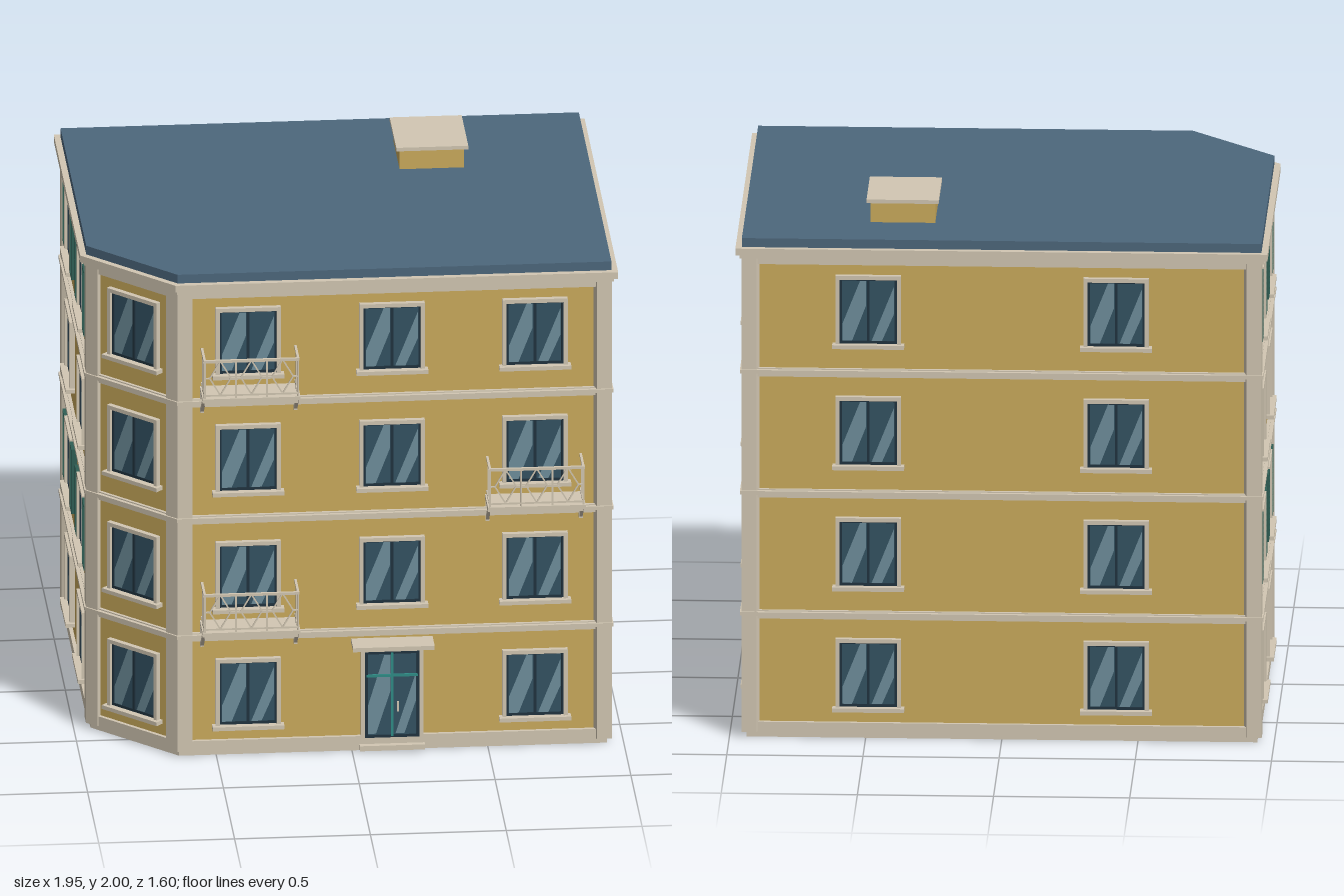
import * as THREE from 'three';

const mat = (color) => new THREE.MeshStandardMaterial({ color, flatShading: true });
const M = {
  wall: mat(0xcbab5c), trim: mat(0xd2c7b3), roof: mat(0x4d677c), glass: mat(0x345363),
  shine: mat(0x6f8f9c), sash: mat(0x20333f), teal: mat(0x2f8c86), shutter: mat(0x2f5f55),
};
const FLOOR = 0.463;

function add(parent, name, geometry, material, x = 0, y = 0, z = 0) {
  const mesh = new THREE.Mesh(geometry, material);
  mesh.name = name;
  mesh.position.set(x, y, z);
  parent.add(mesh);
  return mesh;
}

// Box given by its limits on each axis
function box(parent, name, material, x0, x1, y0, y1, z0, z1) {
  return add(parent, name, new THREE.BoxGeometry(x1 - x0, y1 - y0, z1 - z0), material,
    (x0 + x1) / 2, (y0 + y1) / 2, (z0 + z1) / 2);
}

// Square bar between two points
function bar(parent, name, material, a, b, t = 0.007) {
  const p = new THREE.Vector3(...a), q = new THREE.Vector3(...b);
  const mesh = add(parent, name, new THREE.BoxGeometry(t, t, p.distanceTo(q)), material);
  mesh.position.copy(p).add(q).multiplyScalar(0.5);
  mesh.lookAt(q);
  return mesh;
}

// Floor plan with one cut corner, grown outward by d; points are (x, z)
function plan(d) {
  const l = -0.935 - d, r = 0.935 + d, f = 0.67 + d, b = -0.755 - d, cut = 1.305 + d * Math.SQRT2;
  return [[l, b], [l, cut + l], [f - cut, f], [r, f], [r, b]].map((p) => new THREE.Vector2(...p));
}

// Upright prism over a plan
function prism(parent, name, material, points, y0, y1) {
  const shape = new THREE.Shape(points.map((p) => new THREE.Vector2(p.x, -p.y)));
  const geo = new THREE.ExtrudeGeometry(shape, { depth: y1 - y0, bevelEnabled: false });
  geo.rotateX(-Math.PI / 2);
  return add(parent, name, geo, material, 0, y0, 0);
}

// Flat polygon facing local +z
function flat(parent, name, material, pts, z) {
  const shape = new THREE.Shape(pts.map((p) => new THREE.Vector2(...p)));
  return add(parent, name, new THREE.ShapeGeometry(shape), material, 0, 0, z);
}

// Open frame: left, right and top bars, with an optional bottom bar
function frame(parent, name, material, w, y0, y1, t, z0, z1, bottom = true) {
  for (const s of [-1, 1]) {
    const a = s * w, b = s * (w - t);
    box(parent, name, material, Math.min(a, b), Math.max(a, b), y0, y1, z0, z1);
  }
  box(parent, name, material, t - w, w - t, y1 - t, y1, z0, z1);
  if (bottom) box(parent, name, material, t - w, w - t, y0, y0 + t, z0, z1);
}

// Window: local origin on the wall, at the underside of the sill
function makeWindow(shutters) {
  const g = new THREE.Group();
  g.name = 'window';
  box(g, 'windowGlass', M.glass, -0.105, 0.105, 0.015, 0.265, -0.01, 0.004);
  flat(g, 'glassReflection', M.shine,
    [[-0.095, 0.025], [-0.06, 0.025], [-0.008, 0.16], [-0.008, 0.255], [-0.03, 0.255], [-0.095, 0.09]], 0.006);
  flat(g, 'glassReflection', M.shine,
    [[0.012, 0.025], [0.05, 0.025], [0.095, 0.13], [0.095, 0.235]], 0.006);
  frame(g, 'windowSash', M.sash, 0.107, 0.015, 0.265, 0.01, 0, 0.009);
  box(g, 'windowMullion', M.sash, -0.005, 0.005, 0.02, 0.26, 0, 0.01);
  frame(g, 'windowSurround', M.trim, 0.12, 0.012, 0.276, 0.015, -0.01, 0.02, false);
  box(g, 'windowSill', M.trim, -0.132, 0.132, 0, 0.015, -0.01, 0.035);
  if (shutters) for (const s of [-1, 1]) {
    const sh = new THREE.Group();
    sh.name = 'shutter';
    sh.position.x = s * 0.163;
    box(sh, 'shutterPanel', M.shutter, -0.036, 0.036, 0.02, 0.265, 0, 0.01);
    frame(sh, 'shutterFrame', M.shutter, 0.04, 0.015, 0.27, 0.01, 0, 0.02);
    for (let i = 0; i < 11; i++) {
      const slat = box(sh, 'shutterSlat', M.shutter, -0.03, 0.03, 0.034 + i * 0.021, 0.038 + i * 0.021, 0.006, 0.02);
      slat.rotation.x = 0.5;
    }
    g.add(sh);
  }
  return g;
}

// Balcony: local origin matches that of the window behind it
function makeBalcony() {
  const g = new THREE.Group();
  g.name = 'balcony';
  const top = 0.112, low = -0.022, z = 0.126, w = 0.172;
  box(g, 'balconySlab', M.trim, -0.18, 0.18, -0.05, -0.034, -0.01, 0.134);
  box(g, 'balconySlabBase', M.trim, -0.172, 0.172, -0.062, -0.05, -0.01, 0.126);
  bar(g, 'topRail', M.trim, [-w - 0.005, top, z], [w + 0.005, top, z], 0.01);
  bar(g, 'bottomRail', M.trim, [-w, low, z], [w, low, z]);
  const cell = (2 * w) / 3, mid = (top + low) / 2;
  for (let i = 0; i < 4; i++) {
    const x = -w + i * cell;
    bar(g, 'railPost', M.trim, [x, -0.036, z], [x, top, z]);
    if (i === 3) break;
    // Diamond in each bay
    const c = x + cell / 2, h = cell * 0.34;
    const d = [[c, top, z], [c + h, mid, z], [c, low, z], [c - h, mid, z]];
    d.forEach((p, k) => bar(g, 'railDiamond', M.trim, p, d[(k + 1) % 4], 0.005));
    for (const s of [-1, 1]) bar(g, 'railLink', M.trim, [c + s * h, mid, z], [c + s * cell / 2, mid, z], 0.005);
  }
  for (const s of [-1, 1]) {
    const x = s * w;
    bar(g, 'sideRail', M.trim, [x, top, 0], [x, top, z], 0.009);
    bar(g, 'sideBottomRail', M.trim, [x, low, 0], [x, low, z]);
    bar(g, 'sidePost', M.trim, [x, -0.036, 0.06], [x, top, 0.06]);
    bar(g, 'bracketStrut', M.trim, [x, -0.06, 0.085], [x, -0.125, 0.01], 0.012);
    box(g, 'bracketPlate', M.trim, x - 0.007, x + 0.007, -0.135, -0.06, -0.005, 0.014);
  }
  return g;
}

// Entrance with glazed door, canopy and step; local origin on the wall at ground level
function makeEntrance() {
  const g = new THREE.Group();
  g.name = 'entrance';
  box(g, 'doorGlass', M.glass, -0.097, 0.097, 0.055, 0.395, -0.01, 0.018);
  flat(g, 'doorReflection', M.shine,
    [[-0.09, 0.07], [-0.06, 0.07], [-0.006, 0.24], [-0.006, 0.38], [-0.03, 0.38], [-0.09, 0.18]], 0.02);
  flat(g, 'doorReflection', M.shine, [[0.012, 0.07], [0.045, 0.07], [0.088, 0.2], [0.088, 0.31]], 0.02);
  frame(g, 'doorFrame', M.sash, 0.1, 0.055, 0.395, 0.01, 0, 0.022);
  box(g, 'doorMullion', M.teal, -0.005, 0.005, 0.06, 0.39, 0, 0.024);
  box(g, 'doorTransom', M.teal, -0.095, 0.095, 0.295, 0.305, 0, 0.024);
  bar(g, 'doorHandle', M.trim, [0.02, 0.16, 0.03], [0.02, 0.2, 0.03], 0.007);
  frame(g, 'doorSurround', M.trim, 0.115, 0.05, 0.41, 0.015, -0.01, 0.024, false);
  box(g, 'doorCanopy', M.trim, -0.15, 0.15, 0.426, 0.442, -0.01, 0.097);
  box(g, 'doorStep', M.trim, -0.12, 0.12, 0.008, 0.028, -0.01, 0.035);
  return g;
}

export function createModel() {
  const model = new THREE.Group();
  model.name = 'apartmentBuilding';

  // Body, plinth, storey bands, cornice and roof
  prism(model, 'walls', M.wall, plan(0), 0.01, 1.87);
  prism(model, 'plinth', M.trim, plan(0.003), 0, 0.025);
  prism(model, 'baseBand', M.trim, plan(0.014), 0.02, 0.06);
  for (let i = 1; i < 4; i++) {
    const y = 0.007 + i * FLOOR;
    prism(model, 'storeyBand', M.trim, plan(0.012), y - 0.016, y + 0.016);
    prism(model, 'storeyBandLedge', M.trim, plan(0.026), y - 0.002, y + 0.012);
  }
  prism(model, 'frieze', M.trim, plan(0.014), 1.81, 1.85);
  prism(model, 'corniceLower', M.trim, plan(0.028), 1.835, 1.85);
  prism(model, 'corniceUpper', M.trim, plan(0.042), 1.85, 1.876);
  prism(model, 'roof', M.roof, plan(0.019), 1.876, 1.91);

  // Folded pilaster around every corner
  const inner = plan(-0.01), outer = plan(0.02);
  const toward = (a, b, t) => a.clone().add(b.clone().sub(a).setLength(t));
  inner.forEach((c, i) => {
    const n = (i + 1) % 5, p = (i + 4) % 5;
    prism(model, 'cornerPilaster', M.trim, [
      toward(outer[i], outer[p], 0.055), outer[i], toward(outer[i], outer[n], 0.055),
      toward(c, inner[n], 0.04), c, toward(c, inner[p], 0.04)], 0.022, 1.845);
  });

  // Chimney
  box(model, 'chimney', M.wall, 0.253, 0.49, 1.9, 1.986, -0.547, -0.273);
  box(model, 'chimneyCap', M.trim, 0.24, 0.505, 1.986, 2, -0.56, -0.26);

  // Windows: x, z, turn about y, floors to skip, floors with shutters
  const Q = Math.PI / 2;
  const columns = [
    [-0.383, 0.67, 0], [0.147, 0.67, 0, [0]], [0.673, 0.67, 0],
    [0.935, 0.32, Q], [0.935, -0.36, Q],
    [0.49, -0.755, 2 * Q], [-0.42, -0.755, 2 * Q],
    [-0.935, -0.48, -Q, [], [1, 3]], [-0.935, 0.07, -Q, [], [1, 3]],
    [-0.785, 0.52, -Q / 2],
  ];
  const place = (part, x, y, z, turn) => {
    part.position.set(x, y, z);
    part.rotation.y = turn;
    model.add(part);
  };
  for (const [x, z, turn, skip = [], shut = []] of columns)
    for (let f = 0; f < 4; f++)
      if (!skip.includes(f)) place(makeWindow(shut.includes(f)), x, 0.105 + f * FLOOR, z, turn);

  // Balconies and entrance on the front
  for (const [x, f] of [[-0.38, 1], [0.67, 2], [-0.38, 3]]) place(makeBalcony(), x, 0.105 + f * FLOOR, 0.67, 0);
  place(makeEntrance(), 0.147, 0, 0.67, 0);

  return model;
}
